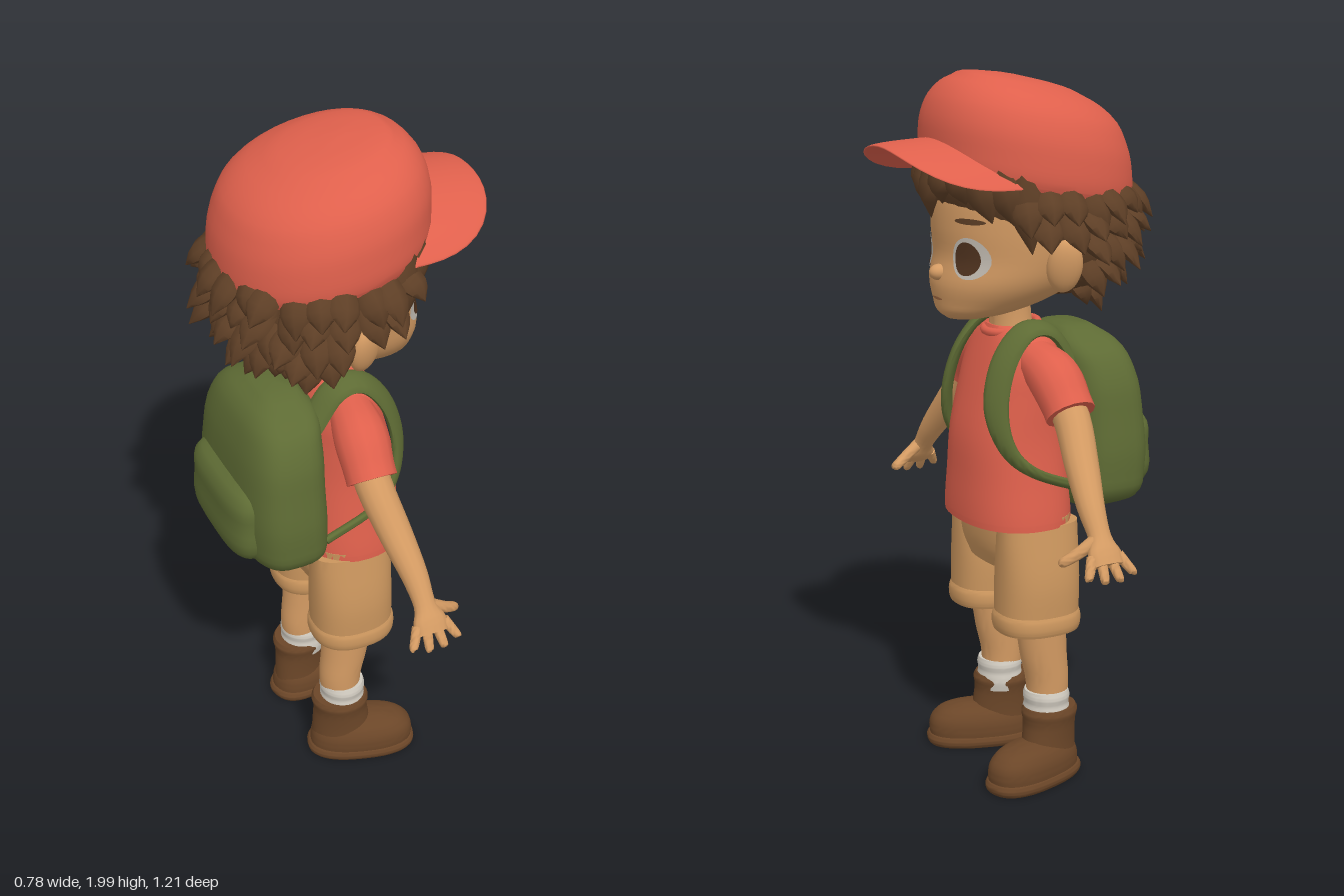
import * as THREE from 'three';
import { toCreasedNormals } from 'three/addons/utils/BufferGeometryUtils.js';

const V = (x, y, z) => new THREE.Vector3(x, y, z);
const mat = (name, color) => Object.assign(new THREE.MeshStandardMaterial({ color }), { name });

// Spline through rows of numbers, sampled `sub` times per interval
function smoothRows(rows, keys, sub) {
  const size = rows[0].length;
  const curve = new THREE.CubicInterpolant(new Float32Array(keys), new Float32Array(rows.flat()), size, new Float32Array(size));
  const out = [];
  for (let i = 0; i < rows.length - 1; i++)
    for (let k = 0; k < sub; k++) out.push(Array.from(curve.evaluate(keys[i] + (keys[i + 1] - keys[i]) * k / sub)));
  out.push(rows[rows.length - 1]);
  return out;
}

// Closed skin over a list of rings, with both ends capped
function skin(rings) {
  const n = rings[0].length, pos = [], idx = [];
  rings.forEach(r => r.forEach(p => pos.push(p.x, p.y, p.z)));
  for (let i = 0; i < rings.length - 1; i++)
    for (let j = 0; j < n; j++) {
      const k = (j + 1) % n, a = i * n + j, b = i * n + k;
      idx.push(a, b, b + n, a, b + n, a + n);
    }
  [0, rings.length - 1].forEach((r, end) => {
    const mid = rings[r].reduce((s, p) => s.add(p), V(0, 0, 0)).divideScalar(n), m = pos.length / 3;
    pos.push(mid.x, mid.y, mid.z);
    for (let j = 0; j < n; j++) {
      const a = r * n + j, b = r * n + (j + 1) % n;
      end ? idx.push(a, b, m) : idx.push(b, a, m);
    }
  });
  const g = new THREE.BufferGeometry();
  g.setAttribute('position', new THREE.Float32BufferAttribute(pos, 3));
  g.setIndex(idx);
  return toCreasedNormals(g, Math.PI / 3);
}

// Horizontal rings: rows of [y, centre z, half width, half depth]
const power = (v, p) => Math.sign(v) * Math.abs(v) ** (2 / p);
function stack(rows, { cx = 0, p = 2, tilt = 0, sub = 4, n = 40 } = {}) {
  return skin(smoothRows(rows, rows.map(r => r[0]), sub).map(([y, cz, rx, rz]) =>
    Array.from({ length: n }, (_, j) => {
      const a = j / n * Math.PI * 2, z = cz + rz * power(Math.cos(a), p);
      return V(cx + rx * power(Math.sin(a), p), y + tilt * z, z);
    })));
}

// Swept limb: rows of [x, y, z, half width, half thickness]; out(p) gives the thickness direction
function sweep(rows, out, { side = 1, sub = 4, n = 14 } = {}) {
  const pts = smoothRows(rows, rows.map((_, i) => i), sub);
  const at = i => { const q = pts[Math.max(0, Math.min(pts.length - 1, i))]; return V(q[0] * side, q[1], q[2]); };
  return skin(pts.map((q, i) => {
    const c = at(i), t = at(i + 1).sub(at(i - 1)).normalize();
    const s = t.clone().cross(out(c)).normalize(), u = t.clone().cross(s);
    return Array.from({ length: n }, (_, j) => {
      const a = j / n * Math.PI * 2;
      return c.clone().addScaledVector(s, q[3] * Math.cos(a)).addScaledVector(u, q[4] * Math.sin(a));
    });
  }));
}

const HEAD = [[1.33, .12, .05, .06], [1.345, .10, .10, .10], [1.38, .05, .155, .16], [1.43, .01, .2, .205],
  [1.5, -.02, .225, .22], [1.58, -.03, .235, .235], [1.68, -.04, .235, .24], [1.78, -.04, .2, .2]];

// Thin oval plate that follows the face
function facePatch(x, y, rx, ry, lift) {
  const g = new THREE.RingGeometry(0, 1, 28, 5), a = g.attributes.position;
  const curve = new THREE.CubicInterpolant(new Float32Array(HEAD.map(r => r[0])), new Float32Array(HEAD.flat()), 4, new Float32Array(4));
  for (let i = 0; i < a.count; i++) {
    const px = x + a.getX(i) * rx, py = y + a.getY(i) * ry, [, cz, w, d] = curve.evaluate(py);
    a.setXYZ(i, px, py, cz + d * Math.sqrt(Math.max(0, 1 - (px / w) ** 2)) + lift);
  }
  g.computeVertexNormals();
  return g;
}

export function createModel() {
  const red = mat('red cloth', 0xdf604c), skinM = mat('skin', 0xd49b63), tan = mat('tan cloth', 0xca955d);
  const hairM = mat('brown hair', 0x5e3f26), leather = mat('boot leather', 0x6b4628), green = mat('green canvas', 0x5e6b34);
  const sockM = mat('sock white', 0xcfc9be), eyeM = mat('eye white', 0xc4bdb3), iris = mat('iris brown', 0x50331f), lip = mat('lip', 0xa56c44);
  const body = new THREE.Group();
  body.name = 'body';
  const add = (name, geo, m, parent = body) => {
    const mesh = new THREE.Mesh(geo, m);
    mesh.name = name;
    parent.add(mesh);
    return mesh;
  };

  // Head and face
  add('head', stack(HEAD), skinM);
  add('neck', stack([[1.24, -.015, .07, .065], [1.32, -.01, .06, .058], [1.42, 0, .06, .06]]), skinM);
  const nose = add('nose', new THREE.SphereGeometry(1, 20, 14), skinM);
  nose.position.set(0, 1.458, .207);
  nose.scale.set(.024, .022, .028);
  add('mouth', facePatch(0, 1.388, .028, .004, .003), lip);

  // Cap crown, tilted up towards the front, and arched brim
  add('capCrown', stack([[1.685, -.055, .282, .272], [1.7, -.055, .288, .28], [1.76, -.055, .29, .283], [1.84, -.05, .277, .272],
    [1.91, -.045, .235, .235], [1.95, -.03, .17, .175], [1.972, -.01, .09, .1], [1.978, 0, .02, .02]], { p: 2.15, tilt: .18 }), red);
  const brim = new THREE.SphereGeometry(1, 48, 24), bp = brim.attributes.position;
  for (let i = 0; i < bp.count; i++) {
    const x = bp.getX(i), z = bp.getZ(i), a = Math.atan2(z, x);
    const k = (Math.abs(Math.cos(a)) ** 2.7 + Math.abs(Math.sin(a)) ** 2.7) ** (-1 / 2.7);
    bp.setXYZ(i, x * k * .262, 1.803 - .1 * (x * k) ** 2 + bp.getY(i) * .016, .1 + z * k * .28);
  }
  brim.computeVertexNormals();
  add('capBrim', brim, red);

  // Hair: base shell, rows of tufts round the back, and a fringe
  const hair = new THREE.Group();
  hair.name = 'hair';
  body.add(hair);
  add('hairBase', stack([[1.39, -.12, .12, .08], [1.42, -.12, .18, .14], [1.48, -.1, .222, .19], [1.56, -.08, .245, .235],
    [1.63, -.055, .262, .25], [1.7, -.05, .268, .268], [1.78, -.05, .24, .24]]), hairM, hair);
  const radial = p => V(p.x, 0, p.z + .05).normalize();
  const tuft = (a, b, w) => {
    const m = a.clone().lerp(b, .5).addScaledVector(radial(b), .012);
    add('hairTuft', sweep([[a.x, a.y, a.z, w * .8, .025], [m.x, m.y, m.z, w, .024], [b.x, b.y, b.z, .001, .001]], radial, { n: 8, sub: 3 }), hairM, hair);
  };
  const around = (a, r, y) => V(r * Math.sin(a), y, -.05 - r * Math.cos(a));
  const rows = [[1.69, 19, 2.05, .25, .335, 1.6], [1.63, 16, 1.85, .245, .34, 1.55], [1.57, 13, 1.3, .235, .33, 1.48],
    [1.5, 11, 1.2, .2, .285, 1.42], [1.44, 8, 1.0, .15, .21, 1.36]];
  rows.forEach(([y, count, spread, r0, r1, tipY], k) => {
    for (let i = 0; i < count; i++) {
      const a = (i / (count - 1) * 2 - 1) * spread, wob = Math.sin(i * 2.4 + k * 1.7);
      tuft(around(a, r0, y), around(a + .07 * wob, r1 + .018 * wob, tipY + .022 * Math.cos(i * 1.9 + k)), .04);
    }
  });
  const fringe = [[-.23, -.245, 1.53], [-.2, -.225, 1.6], [-.15, -.19, 1.62], [-.09, -.125, 1.655], [-.05, -.06, 1.635], [.0, -.01, 1.605],
    [.05, .05, 1.65], [.1, .13, 1.655], [.15, .19, 1.61], [.2, .23, 1.6], [.23, .248, 1.53]];
  const frontZ = (x, r) => -.045 + Math.sqrt(Math.max(0, r * r - x * x));
  fringe.forEach(([x0, x1, y1]) => tuft(V(x0, 1.75, frontZ(x0, .262)), V(x1, y1, frontZ(x1, .268)), .046));

  // Shirt and shorts
  add('shirt', stack([[.755, 0, .213, .155], [.775, 0, .212, .156], [.88, 0, .198, .152], [1.0, 0, .186, .145], [1.12, -.01, .185, .125],
    [1.2, -.018, .182, .108], [1.26, -.02, .15, .088], [1.3, -.018, .082, .07]], { p: 2.3 }), red);
  const collar = add('collar', new THREE.TorusGeometry(.074, .012, 10, 32).rotateX(Math.PI / 2), red);
  collar.position.set(0, 1.292, -.012);
  collar.rotation.x = .15;
  add('shortsSeat', stack([[.625, -.022, .17, .105], [.68, -.022, .2, .122], [.78, -.022, .205, .127]], { p: 2.4 }), tan);

  // Backpack
  add('backpack', stack([[.79, -.215, .17, .08], [.82, -.22, .235, .108], [.9, -.225, .26, .12], [1.05, -.225, .25, .117],
    [1.18, -.215, .222, .107], [1.25, -.2, .165, .088], [1.285, -.19, .08, .05]], { p: 3.2 }), green);
  add('backpackPocket', stack([[.815, -.3, .13, .05], [.84, -.308, .17, .068], [.95, -.31, .185, .075],
    [1.03, -.308, .17, .062], [1.055, -.3, .13, .035]], { p: 3.2 }), green);

  [[1, 'left'], [-1, 'right']].forEach(([side, label]) => {
    // Eyes, brows and ears
    add(label + 'Eye', facePatch(.113 * side, 1.508, .052, .056, .003), eyeM);
    add(label + 'Iris', facePatch(.108 * side, 1.507, .036, .045, .005), iris);
    add(label + 'Brow', facePatch(.118 * side, 1.607, .042, .008, .004), hairM);
    const ear = add(label + 'Ear', new THREE.SphereGeometry(1, 20, 16), skinM);
    ear.position.set(.248 * side, 1.492, -.04);
    ear.scale.set(.03, .074, .048);
    ear.rotation.set(-.1, -.4 * side, -.25 * side);

    // Sleeve, arm and hand
    const up = () => V(.7 * side, .7, 0);
    const limb = (name, pts, m) => add(label + name, sweep(pts, up, { side }), m);
    limb('Sleeve', [[.12, 1.225, -.02, .06, .05], [.21, 1.185, -.03, .074, .07], [.27, 1.125, -.035, .07, .066], [.293, 1.1, -.036, .07, .066]], red);
    limb('Arm', [[.22, 1.17, -.03, .05, .05], [.3, 1.09, -.035, .05, .05], [.39, .985, -.015, .046, .043], [.47, .895, .003, .037, .035],
      [.525, .83, .008, .031, .026], [.552, .795, .01, .048, .024], [.575, .768, .01, .045, .016]], skinM);
    for (let i = 0; i < 4; i++) {
      const z = -.03 + i * .027, f = -.055 + i * .044, len = i % 3 ? 1 : .8;
      limb('Finger', [[.556, .79, z, .013, .014], [.556 + .022 * len, .79 - .03 * len, (z + f) / 2, .0135, .0135],
        [.556 + .041 * len, .79 - .055 * len, f, .011, .011], [.556 + .045 * len, .79 - .06 * len, f + .001, .005, .005]], skinM);
    }
    add(label + 'Thumb', sweep([[.528, .825, .025, .018, .018], [.521, .795, .07, .016, .016], [.508, .772, .108, .013, .013],
      [.505, .766, .118, .005, .005]], () => V(side, 0, 0), { side }), skinM);

    // Shoulder strap
    add(label + 'Strap', sweep([[.13, 1.2, -.14, .038, .014], [.125, 1.29, -.07, .04, .015], [.125, 1.298, .01, .04, .015], [.133, 1.22, .08, .04, .015],
      [.148, 1.1, .112, .037, .015], [.175, .99, .09, .026, .014], [.2, .92, .02, .018, .012], [.205, .86, -.13, .018, .012]],
    p => V(p.x * .7, p.y - 1.05, p.z + .02).normalize(), { side, sub: 6 }), green);

    // Shorts leg with cuff, bare leg and sock
    const cx = .135 * side;
    add(label + 'ShortsLeg', stack([[.47, -.02, .1, .117], [.6, -.022, .1, .118], [.76, -.022, .07, .118]], { cx, p: 2.4 }), tan);
    add(label + 'ShortsCuff', stack([[.453, -.02, .103, .118], [.465, -.02, .107, .122], [.5, -.02, .104, .121], [.51, -.02, .099, .116]], { cx, p: 2.4 }), tan);
    add(label + 'Leg', stack([[.18, -.05, .055, .055], [.28, -.055, .059, .061], [.37, -.042, .062, .068], [.5, -.03, .066, .075]], { cx: cx * 1.02 }), skinM);
    add(label + 'Sock', stack([[.17, -.05, .066, .064], [.2, -.05, .07, .067], [.225, -.05, .065, .063], [.245, -.05, .068, .066], [.262, -.05, .062, .062]], { cx: cx * 1.05 }), sockM);

    // Boot, toe turned outwards
    const boot = new THREE.Group();
    boot.name = label + 'Boot';
    boot.position.set(.146 * side, 0, -.055);
    boot.rotation.y = .3 * side;
    body.add(boot);
    add('bootShaft', stack([[.03, 0, .07, .09], [.1, 0, .066, .086], [.17, -.003, .07, .08], [.2, -.004, .075, .084], [.212, -.004, .07, .078]]), leather, boot);
    add('bootFoot', stack([[.02, .06, .08, .152], [.06, .062, .081, .152], [.09, .06, .072, .14], [.112, .05, .052, .115], [.122, .04, .025, .08]], { p: 2.4 }), leather, boot);
    add('bootSole', stack([[0, .06, .08, .154], [.008, .06, .085, .16], [.026, .06, .085, .16], [.032, .06, .081, .155]], { p: 2.5 }), leather, boot);
  });

  // The figure looks along +x
  body.rotation.y = Math.PI / 2;
  const model = new THREE.Group();
  model.name = 'hikerBoy';
  model.add(body);
  return model;
}
